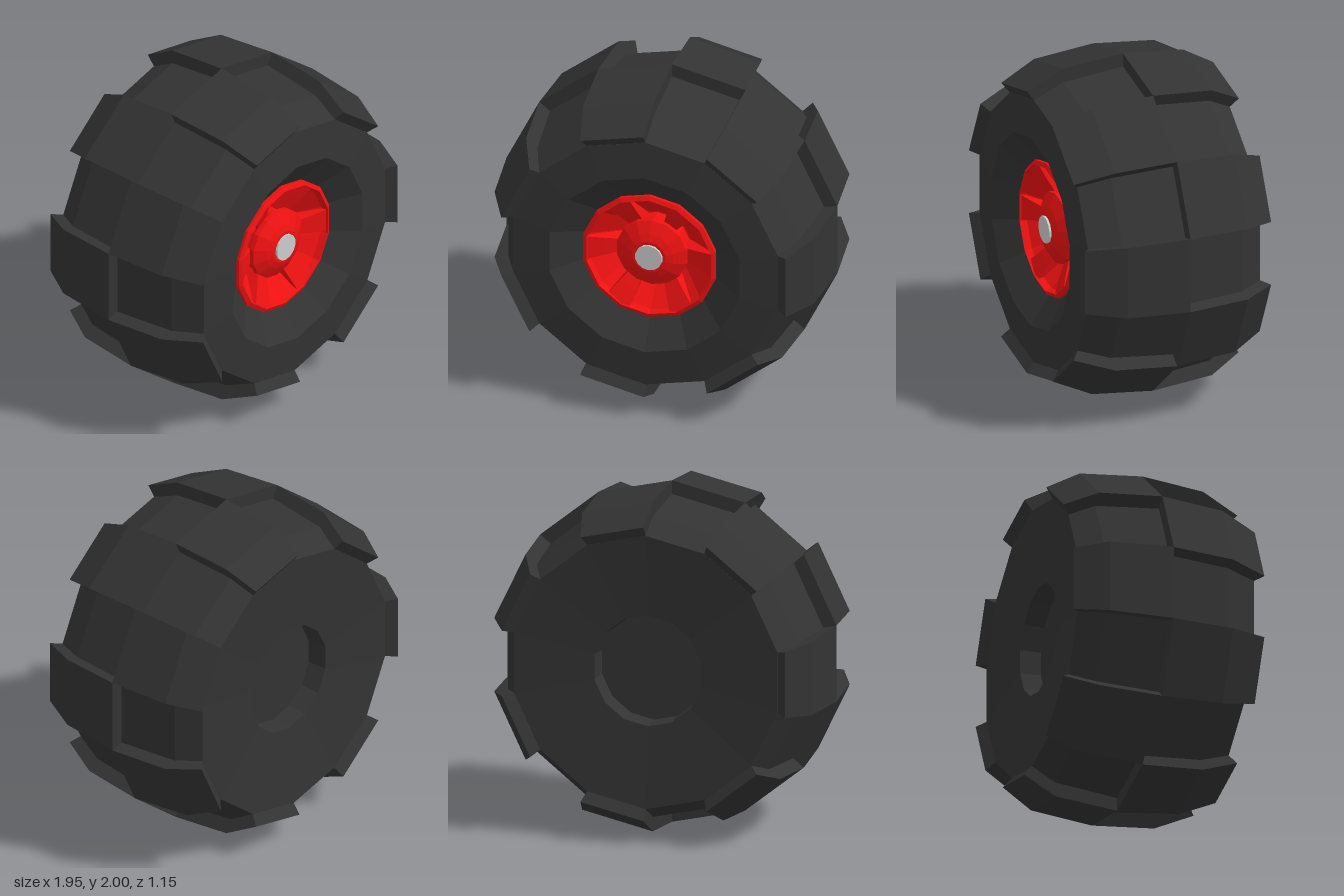
import * as THREE from 'three';

const SIDES = 14;
const STEP = (Math.PI * 2) / SIDES;
const mat = (color) => new THREE.MeshStandardMaterial({ color, flatShading: true });
const rubber = mat(0x333333);
const red = mat(0xee1111);
const grey = mat(0xcccccc);

// Turned part around the z axis; profile is [radius, z] from back to front
function turned(name, profile, material, sides = SIDES) {
  const points = profile.map(([r, z]) => new THREE.Vector2(r, z));
  const geometry = new THREE.LatheGeometry(points, sides).rotateX(Math.PI / 2);
  const mesh = new THREE.Mesh(geometry, material);
  mesh.name = name;
  return mesh;
}

// Block swept between two angles (clockwise from the top) with a [radius, z] cross-section
function wedge(name, outer, inner, a0, a1, material) {
  const pos = [];
  const at = ([r, z], a) => [r * Math.sin(a), r * Math.cos(a), z];
  const quad = (a, b, c, d) => pos.push(...a, ...b, ...c, ...a, ...c, ...d);
  const loop = [...outer, ...[...inner].reverse()];
  loop.forEach((p, i) => {
    const q = loop[(i + 1) % loop.length];
    quad(at(p, a0), at(q, a0), at(q, a1), at(p, a1));
  });
  for (let i = 0; i < outer.length - 1; i++) {
    const face = [outer[i], outer[i + 1], inner[i + 1], inner[i]];
    quad(...face.map((p) => at(p, a1)));
    quad(...face.reverse().map((p) => at(p, a0)));
  }
  const geometry = new THREE.BufferGeometry();
  geometry.setAttribute('position', new THREE.Float32BufferAttribute(pos, 3));
  geometry.computeVertexNormals();
  const mesh = new THREE.Mesh(geometry, material);
  mesh.name = name;
  return mesh;
}

export function createModel() {
  const wheel = new THREE.Group();
  wheel.name = 'wheel';
  const parts = new THREE.Group();
  parts.name = 'wheelParts';
  parts.position.y = 1;
  wheel.add(parts);

  // Tyre with a shallow recess at the back and a dished front
  parts.add(turned('tyre', [
    [0, -0.37], [0.315, -0.37], [0.325, -0.49], [0.8, -0.53], [0.88, -0.39], [0.92, -0.02],
    [0.88, 0.35], [0.8, 0.53], [0.575, 0.55], [0.39, 0.42], [0.37, 0.24], [0, 0.22],
  ], rubber));

  // Tread blocks, alternating between the front and back halves
  const treads = new THREE.Group();
  treads.name = 'treads';
  for (let i = 0; i < SIDES; i++) {
    const front = i % 2 === 1;
    const outer = front
      ? [[1, -0.02], [0.965, 0.35], [0.86, 0.572]]
      : [[0.86, -0.575], [0.965, -0.39], [1, -0.02]];
    const inner = front
      ? [[0.9, -0.02], [0.86, 0.35], [0.795, 0.525]]
      : [[0.795, -0.525], [0.86, -0.39], [0.9, -0.02]];
    treads.add(wedge(front ? 'frontTread' : 'backTread', outer, inner, i * STEP, (i + 1) * STEP, rubber));
  }
  parts.add(treads);

  // Rim bowl
  parts.add(turned('rim', [
    [0.39, 0.36], [0.4, 0.45], [0.375, 0.462], [0.365, 0.42], [0.2, 0.27], [0, 0.25],
  ], red));

  // Spokes between the six pockets
  const spokes = new THREE.Group();
  spokes.name = 'spokes';
  for (let i = 0; i < 6; i++) {
    const a = ((i + 0.5) * Math.PI) / 3;
    spokes.add(wedge('spoke',
      [[0.38, 0.455], [0.28, 0.41], [0.18, 0.36]],
      [[0.38, 0.4], [0.28, 0.31], [0.18, 0.24]],
      a - 0.2, a + 0.2, red));
  }
  parts.add(spokes);

  // Hub and axle cap
  parts.add(turned('hub', [
    [0.19, 0.24], [0.19, 0.35], [0.21, 0.37], [0.21, 0.4], [0.14, 0.44], [0.1, 0.455], [0, 0.455],
  ], red));
  parts.add(turned('axleCap', [[0.08, 0.44], [0.08, 0.468], [0, 0.468]], grey));

  return wheel;
}
